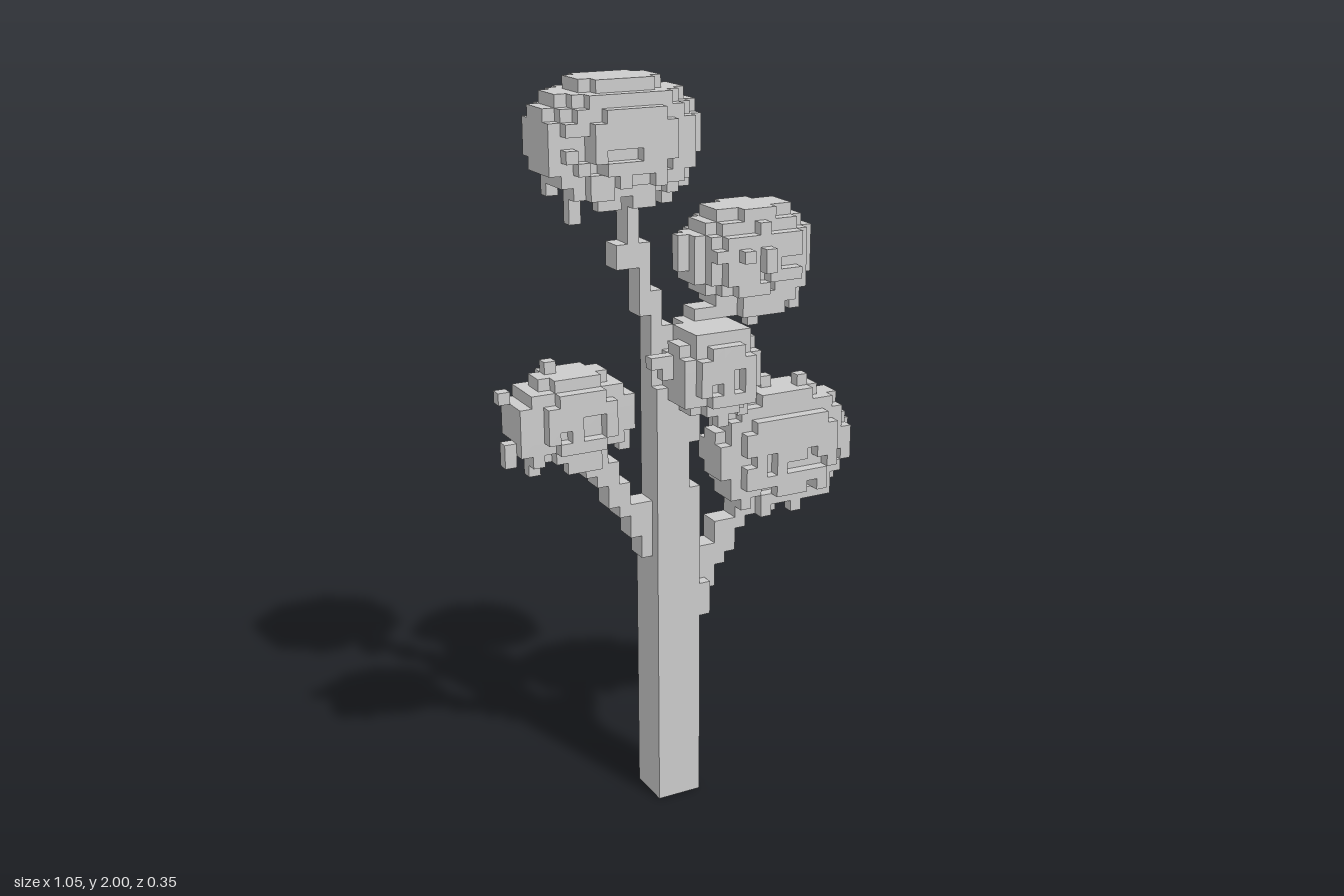
import * as THREE from 'three';

// Voxel grid: 33 x 63 x 11 cells
const S = 2 / 63;
const SIZE = [33, 63, 11];
const material = new THREE.MeshStandardMaterial({ color: 0xcccccc, flatShading: true });

const key = (i, j, k) => `${i},${j},${k}`;

// Fill a box of cells: [first corner, end corner)
function fill(cells, [i0, j0, k0, i1, j1, k1]) {
  for (let i = i0; i < i1; i++)
    for (let j = j0; j < j1; j++)
      for (let k = k0; k < k1; k++) cells.add(key(i, j, k));
}

// Repeatable noise per cell, 0..1
function noise(a, b, c) {
  const n = Math.sin(a * 12.99 + b * 78.23 + c * 37.72) * 43758.55;
  return n - Math.floor(n);
}

// Mesh only the exposed faces of a set of cells
function voxelMesh(name, cells) {
  const pos = [];
  for (const id of cells) {
    const c = id.split(',').map(Number);
    for (let d = 0; d < 3; d++)
      for (const sign of [-1, 1]) {
        const n = [...c];
        n[d] += sign;
        if (cells.has(key(...n))) continue;
        const u = (d + 1) % 3, v = (d + 2) % 3;
        const corners = [[0, 0], [1, 0], [1, 1], [0, 1]].map(([a, b]) => {
          const p = [...c];
          p[d] += sign > 0 ? 1 : 0;
          p[u] += a;
          p[v] += b;
          return [(p[0] - SIZE[0] / 2) * S, p[1] * S, (p[2] - SIZE[2] / 2) * S];
        });
        if (sign < 0) corners.reverse();
        for (const q of [0, 1, 2, 0, 2, 3]) pos.push(...corners[q]);
      }
  }
  const geo = new THREE.BufferGeometry();
  geo.setAttribute('position', new THREE.Float32BufferAttribute(pos, 3));
  geo.computeVertexNormals();
  const mesh = new THREE.Mesh(geo, material);
  mesh.name = name;
  return mesh;
}

// Rounded leaf ball with a ragged front fringe, hanging tips and extra sprigs
function leafBall(name, lo, hi, sprigs) {
  const cells = new Set();
  const mid = lo.map((a, n) => (a + hi[n]) / 2);
  const rad = lo.map((a, n) => (hi[n] - a) / 2);
  const inside = (...p) =>
    p.reduce((s, a, n) => s + Math.abs((a + 0.5 - mid[n]) / rad[n]) ** 2.5, 0) <= 1;
  for (let i = lo[0]; i < hi[0]; i++)
    for (let j = lo[1]; j < hi[1]; j++)
      for (let k = lo[2]; k < hi[2]; k++) {
        if (!inside(i, j, k)) continue;
        const front = k + 0.5 > mid[2] + 1 && !inside(i, j, k + 1);
        const rim = !inside(i, j + 1, k) || !inside(i, j - 1, k);
        // the front layer ends in a fringe of uneven length
        if (front && !rim && j < mid[1] - rad[1] * 0.8 * noise(i, lo[1], k)) continue;
        cells.add(key(i, j, k));
        // hanging tips under the front rim
        if (front && j < mid[1] && !inside(i, j - 1, k) && noise(i, k, j) < 0.4)
          fill(cells, [i, Math.max(j - 1, lo[1] - 1), k, i + 1, j, k + 1]);
      }
  sprigs.forEach(b => fill(cells, b));
  return voxelMesh(name, cells);
}

function wood(name, boxes) {
  const cells = new Set();
  boxes.forEach(b => fill(cells, b));
  return voxelMesh(name, cells);
}

export function createModel() {
  const tree = new THREE.Group();
  tree.name = 'tree';

  tree.add(wood('trunk', [
    [13, 0, 3, 17, 23, 7], [13, 23, 4, 17, 29, 7], [13, 29, 4, 16, 38, 7],
    [13, 38, 4, 15, 43, 6], [16, 33, 5, 17, 38, 7],
  ]));
  tree.add(wood('topBranch', [
    [13, 42, 4, 14, 46, 6], [12, 44, 4, 13, 50, 6],
    [11, 48, 4, 12, 55, 6], [10, 48, 4, 11, 50, 6],
  ]));
  tree.add(wood('upperBranch', [
    [15, 38, 4, 17, 41, 6], [16, 40, 4, 18, 43, 6], [17, 42, 4, 20, 44, 6], [19, 43, 4, 21, 45, 6],
  ]));
  tree.add(wood('rightBranch', [
    [12, 23, 4, 13, 28, 6], [11, 25, 4, 12, 28, 6], [10, 27, 4, 11, 30, 6],
    [9, 28, 4, 10, 32, 6], [8, 30, 4, 9, 33, 6], [7, 31, 4, 8, 35, 6],
  ]));
  tree.add(wood('leftBranch', [
    [17, 17, 3, 18, 20, 7], [17, 20, 3, 18, 23, 6], [18, 19, 4, 19, 23, 6],
    [19, 21, 4, 20, 25, 6], [20, 22, 4, 21, 25, 6], [21, 24, 4, 22, 27, 6],
    [22, 25, 4, 24, 28, 6],
  ]));

  tree.add(leafBall('topLeaves', [4, 54, 0], [17, 63, 9], [
    [17, 58, 4, 18, 59, 5], [6, 52, 5, 7, 55, 6], [8, 53, 6, 9, 55, 7],
    [14, 53, 5, 15, 55, 6], [16, 54, 4, 17, 57, 5], [5, 54, 3, 6, 57, 4],
  ]));
  tree.add(leafBall('upperLeaves', [17, 44, 1], [28, 52, 8], [
    [21, 48, 0, 23, 49, 1], [20, 48, 8, 21, 49, 9], [22, 47, 8, 23, 49, 9],
    [18, 48, 7, 19, 49, 8], [16, 47, 4, 17, 50, 5],
    [22, 42, 5, 23, 45, 6], [26, 43, 5, 27, 46, 6], [24, 43, 6, 25, 45, 7],
  ]));
  tree.add(leafBall('frontLeaves', [14, 36, 5], [21, 43, 11], [
    [15, 42, 6, 20, 43, 10], [18, 35, 7, 19, 37, 8], [20, 35, 7, 21, 38, 8],
    [13, 39, 7, 14, 41, 8], [12, 40, 7, 13, 41, 8],
  ]));
  tree.add(leafBall('rightLeaves', [1, 33, 2], [11, 40, 8], [
    [4, 40, 4, 5, 41, 5], [0, 38, 4, 1, 39, 5], [0, 33, 5, 1, 35, 6],
    [1, 34, 5, 2, 36, 6], [2, 32, 5, 3, 35, 6], [10, 33, 5, 11, 36, 6], [5, 32, 6, 6, 34, 7],
  ]));
  tree.add(leafBall('leftLeaves', [19, 26, 2], [32, 36, 8], [
    [32, 31, 4, 33, 32, 5], [25, 31, 1, 27, 32, 2], [26, 32, 1, 27, 33, 2],
    [24, 36, 4, 25, 37, 5], [27, 36, 5, 28, 37, 6],
    [24, 25, 5, 25, 27, 6], [26, 25, 6, 27, 27, 7], [20, 27, 4, 21, 29, 5],
  ]));

  return tree;
}
